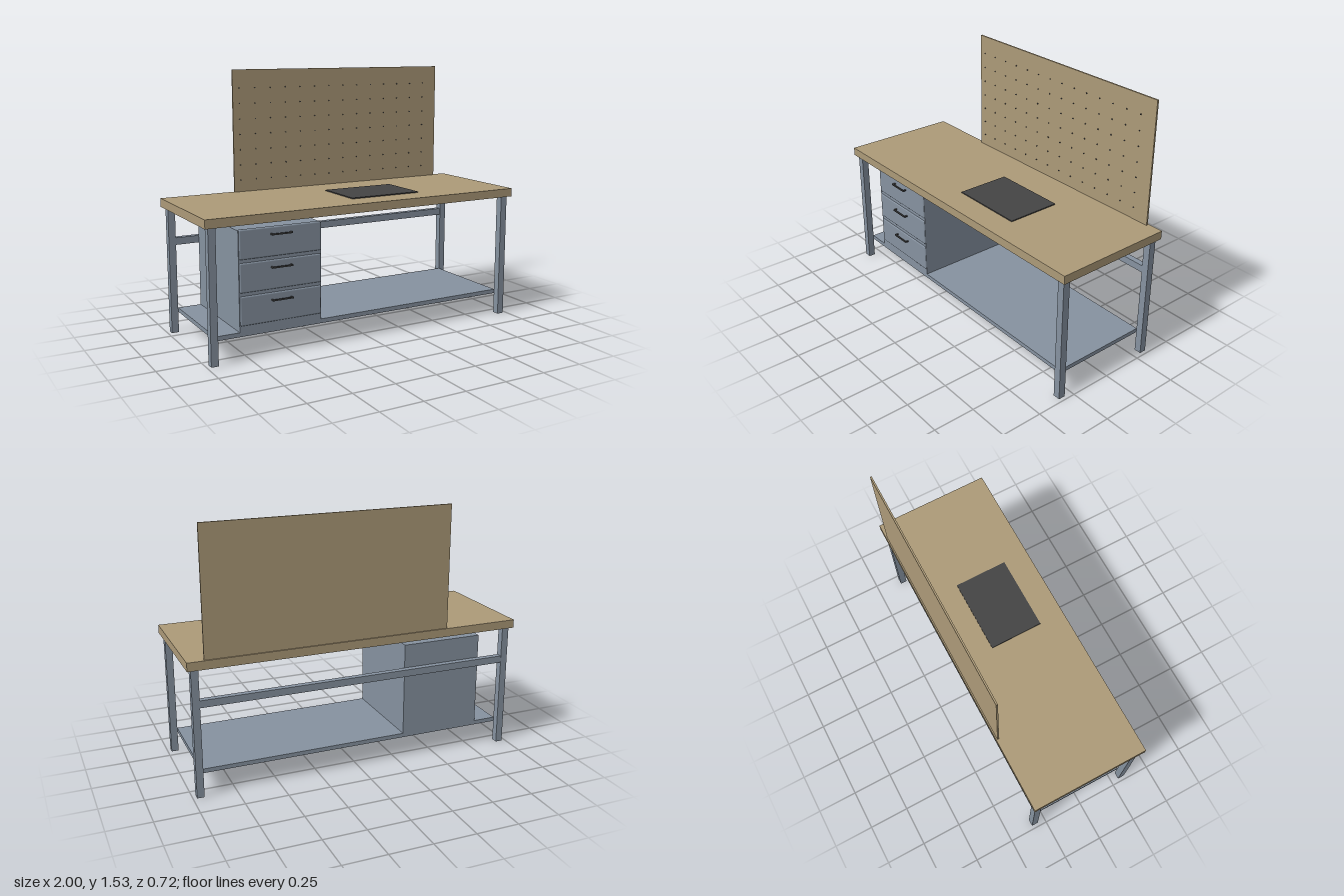
import * as THREE from 'three';
import { RoundedBoxGeometry } from 'three/addons/geometries/RoundedBoxGeometry.js';

const material = (name, color) => {
  const m = new THREE.MeshStandardMaterial({ color });
  m.name = name;
  return m;
};

export function createModel() {
  const wood = material('wood', 0xac9a78);
  const steel = material('blue grey steel', 0x8692a0);
  const dark = material('dark rubber', 0x444444);

  const model = new THREE.Group();
  model.name = 'workbench';

  const add = (name, geometry, mat, x, y, z, parent = model) => {
    const mesh = new THREE.Mesh(geometry, mat);
    mesh.name = name;
    mesh.position.set(x, y, z);
    parent.add(mesh);
    return mesh;
  };
  // Box given by its lower and upper limits on each axis
  const box = (name, mat, [x0, x1], [y0, y1], [z0, z1], parent) =>
    add(name, new THREE.BoxGeometry(x1 - x0, y1 - y0, z1 - z0), mat,
      (x0 + x1) / 2, (y0 + y1) / 2, (z0 + z1) / 2, parent);

  // Worktop and mat
  box('worktop', wood, [-1, 1], [0.75, 0.8], [-0.36, 0.36]);
  box('mat', dark, [-0.045, 0.41], [0.8, 0.806], [-0.12, 0.205]);

  // Frame: four legs, lower shelf, rear rail
  for (const sx of [-1, 1]) {
    for (const sz of [-1, 1]) {
      add(`${sz > 0 ? 'front' : 'rear'}${sx > 0 ? 'Left' : 'Right'}Leg`,
        new THREE.BoxGeometry(0.042, 0.75, 0.042), steel, sx * 0.957, 0.375, sz * 0.32);
    }
  }
  box('lowerShelf', steel, [-0.936, 0.936], [0.125, 0.15], [-0.3, 0.3]);
  box('rearRail', steel, [-0.936, 0.936], [0.528, 0.57], [-0.338, -0.302]);

  // Drawer cabinet
  const cabinet = new THREE.Group();
  cabinet.name = 'drawerCabinet';
  model.add(cabinet);
  box('cabinetBody', steel, [-0.796, -0.301], [0.15, 0.71], [-0.3, 0.3], cabinet);
  for (let i = 0; i < 3; i++) {
    const top = 0.715 - i * 0.183;
    add('drawerFront', new RoundedBoxGeometry(0.49, 0.165, 0.02, 3, 0.009), steel,
      -0.548, top - 0.0825, 0.296, cabinet);

    // Bar handle on two posts
    const y = top - 0.04;
    box('handleBar', dark, [-0.61, -0.486], [y - 0.004, y + 0.004], [0.322, 0.33], cabinet);
    for (const x of [-0.606, -0.49]) {
      box('handlePost', dark, [x - 0.004, x + 0.004], [y - 0.004, y + 0.004], [0.304, 0.323], cabinet);
    }
  }

  // Pegboard with a grid of small pegs
  const board = new THREE.Group();
  board.name = 'pegboard';
  model.add(board);
  box('boardPanel', wood, [-0.546, 0.905], [0.8, 1.53], [-0.352, -0.342], board);
  const peg = new THREE.CylinderGeometry(0.0035, 0.0035, 0.008, 8).rotateX(Math.PI / 2);
  for (let row = 0; row < 7; row++) {
    for (let col = 0; col < 14; col++) {
      add('peg', peg, dark, -0.504 + col * 0.1005, 0.871 + row * 0.0917, -0.341, board);
    }
  }

  return model;
}
